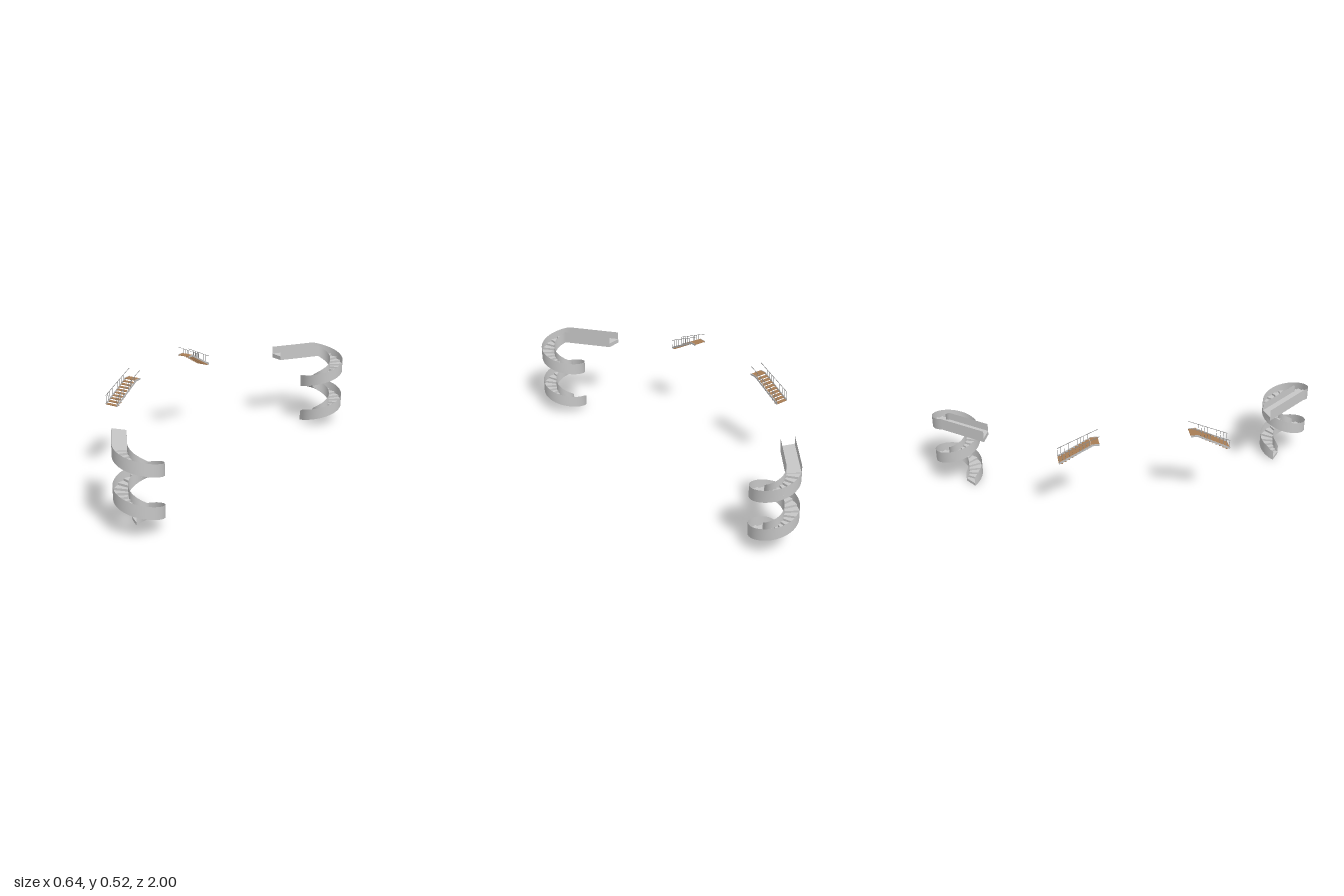
import * as THREE from 'three';

const concrete = new THREE.MeshStandardMaterial({ color: 0xc6c6c6, side: THREE.DoubleSide });
concrete.name = 'concrete';
const wood = new THREE.MeshStandardMaterial({ color: 0xa87d55 });
wood.name = 'wood';
const metal = new THREE.MeshStandardMaterial({ color: 0x8c8c8c });
metal.name = 'railMetal';
const paleMetal = new THREE.MeshStandardMaterial({ color: 0xbdbdbd });
paleMetal.name = 'stringerMetal';

function mesh(parent, name, geometry, material) {
  const m = new THREE.Mesh(geometry, material);
  m.name = name;
  parent.add(m);
  return m;
}

// Smooth strip between two curves a(t) and b(t)
function ribbon(a, b, n) {
  const pos = [], index = [];
  for (let i = 0; i <= n; i++) {
    pos.push(...a(i / n), ...b(i / n));
    if (i < n) {
      const k = 2 * i;
      index.push(k, k + 1, k + 2, k + 1, k + 3, k + 2);
    }
  }
  const g = new THREE.BufferGeometry();
  g.setAttribute('position', new THREE.Float32BufferAttribute(pos, 3));
  g.setIndex(index);
  g.computeVertexNormals();
  return g;
}

// Flat faces from a list of quads
function quads(list) {
  const pos = [];
  for (const [a, b, c, d] of list) pos.push(...a, ...b, ...c, ...a, ...c, ...d);
  const g = new THREE.BufferGeometry();
  g.setAttribute('position', new THREE.Float32BufferAttribute(pos, 3));
  g.computeVertexNormals();
  return g;
}

// Spiral stair with a straight bridge; side = 1 front, -1 mirrored to the back
function spiralStair(side, cx, cz, outerLength, innerLength) {
  const group = new THREE.Group();
  const R = 0.1175, r = 0.048, steps = 36;
  const base = 0.368, wall = 0.0625, deck = 0.39;
  const start = Math.atan2(0.6, -0.8), sweep = start * 2 + Math.PI * 2;
  const point = (radius, t, y) => {
    const a = start - t * sweep;
    return [cx + radius * Math.cos(a), y, side * (cz + radius * Math.sin(a))];
  };
  const low = t => base * (1 - t);
  const high = t => low(t) + wall - 0.012 * Math.max(0, (t - 0.97) / 0.03);

  // Curved walls and the sloping underside
  for (const [name, radius] of [['outerWall', R], ['innerWall', r]]) {
    mesh(group, name, ribbon(t => point(radius, t, low(t)), t => point(radius, t, high(t)), 144), concrete);
  }
  mesh(group, 'underside', ribbon(t => point(r, t, low(t)), t => point(R, t, low(t)), 144), concrete);

  // Treads and risers
  const treadY = i => (i < 0 ? deck : i >= steps ? 0 : 0.386 - 0.0106 * i);
  const faces = [];
  for (let i = 0; i <= steps; i++) {
    const t = i / steps, y = treadY(i), above = treadY(i - 1);
    faces.push([point(r, t, y), point(R, t, y), point(R, t, above), point(r, t, above)]);
    for (let k = 0; k < 3 && i < steps; k++) {
      const t0 = t + k / 3 / steps, t1 = t + (k + 1) / 3 / steps;
      faces.push([point(r, t0, y), point(R, t0, y), point(R, t1, y), point(r, t1, y)]);
    }
  }
  mesh(group, 'spiralSteps', quads(faces), concrete);

  // Bridge leaving the spiral along its tangent
  const along = (radius, length, y) => {
    const p = point(radius, 0, y);
    return [p[0] - 0.6 * length, y, p[2] - side * 0.8 * length];
  };
  const slab = y => [along(r, 0, y), along(R, 0, y), along(R, outerLength, y), along(r, innerLength, y)];
  const bottom = slab(base), top = slab(deck), rim = slab(base + wall);
  mesh(group, 'bridgeFloor', quads([
    bottom, [...top].reverse(),
    [bottom[2], bottom[3], top[3], top[2]],
  ]), concrete);
  mesh(group, 'bridgeWalls', quads([
    [bottom[1], bottom[2], rim[2], rim[1]],
    [bottom[3], bottom[0], rim[0], rim[3]],
  ]), concrete);
  return group;
}

// Straight open stair; u runs from the top landing (0) to the foot (0.2)
function straightStair(side, z0) {
  const group = new THREE.Group();
  const cx = -0.287, half = 0.0335;
  const beam = (name, x, u0, y0, u1, y1, w, h, material) => {
    const dz = side * (u1 - u0), dy = y1 - y0;
    const m = mesh(group, name, new THREE.BoxGeometry(w, h, Math.hypot(dz, dy)), material);
    m.position.set(x, (y0 + y1) / 2, side * (z0 + (u0 + u1) / 2));
    m.rotation.x = -Math.atan2(dy, dz);
  };

  // Treads and landing
  for (let i = 0; i < 9; i++) {
    const u = 0.19 - i * 0.0175;
    beam('tread', cx, u - 0.01, 0.384 + i * 0.0101, u + 0.01, 0.384 + i * 0.0101, 2 * half, 0.003, wood);
  }
  beam('landing', cx, 0, 0.475, 0.04, 0.475, 2 * half, 0.003, wood);

  // Stringers, handrails and posts on both sides
  const railY = u => 0.52 - 0.45 * u;
  const footY = u => Math.min(0.474, 0.474 - (u - 0.035) * 0.54);
  for (const sx of [-1, 1]) {
    const x = cx + sx * half;
    beam('stringer', x, 0.2, 0.385, 0.035, 0.473, 0.003, 0.009, paleMetal);
    beam('landingBeam', x, 0.038, 0.474, 0, 0.474, 0.003, 0.009, paleMetal);
    beam('handrail', x, 0.2, railY(0.2), 0, railY(0), 0.002, 0.002, metal);
    for (const u of [0.198, 0.182, 0.166, 0.145, 0.1, 0.085, 0.07, 0.05]) {
      const h = railY(u) - footY(u);
      const post = mesh(group, 'railPost', new THREE.BoxGeometry(0.0018, h, 0.0018), metal);
      post.position.set(x, footY(u) + h / 2, side * (z0 + u));
    }
  }
  return group;
}

export function createModel() {
  const model = new THREE.Group();
  model.name = 'stairSet';
  const parts = {
    frontSpiralStair: spiralStair(1, 0.1875, 0.8825, 0.289, 0.26),
    backSpiralStair: spiralStair(-1, 0.2055, 0.8825, 0.257, 0.237),
    frontStraightStair: straightStair(1, 0.25),
    backStraightStair: straightStair(-1, 0.2),
  };
  for (const [name, part] of Object.entries(parts)) {
    part.name = name;
    model.add(part);
  }
  return model;
}
